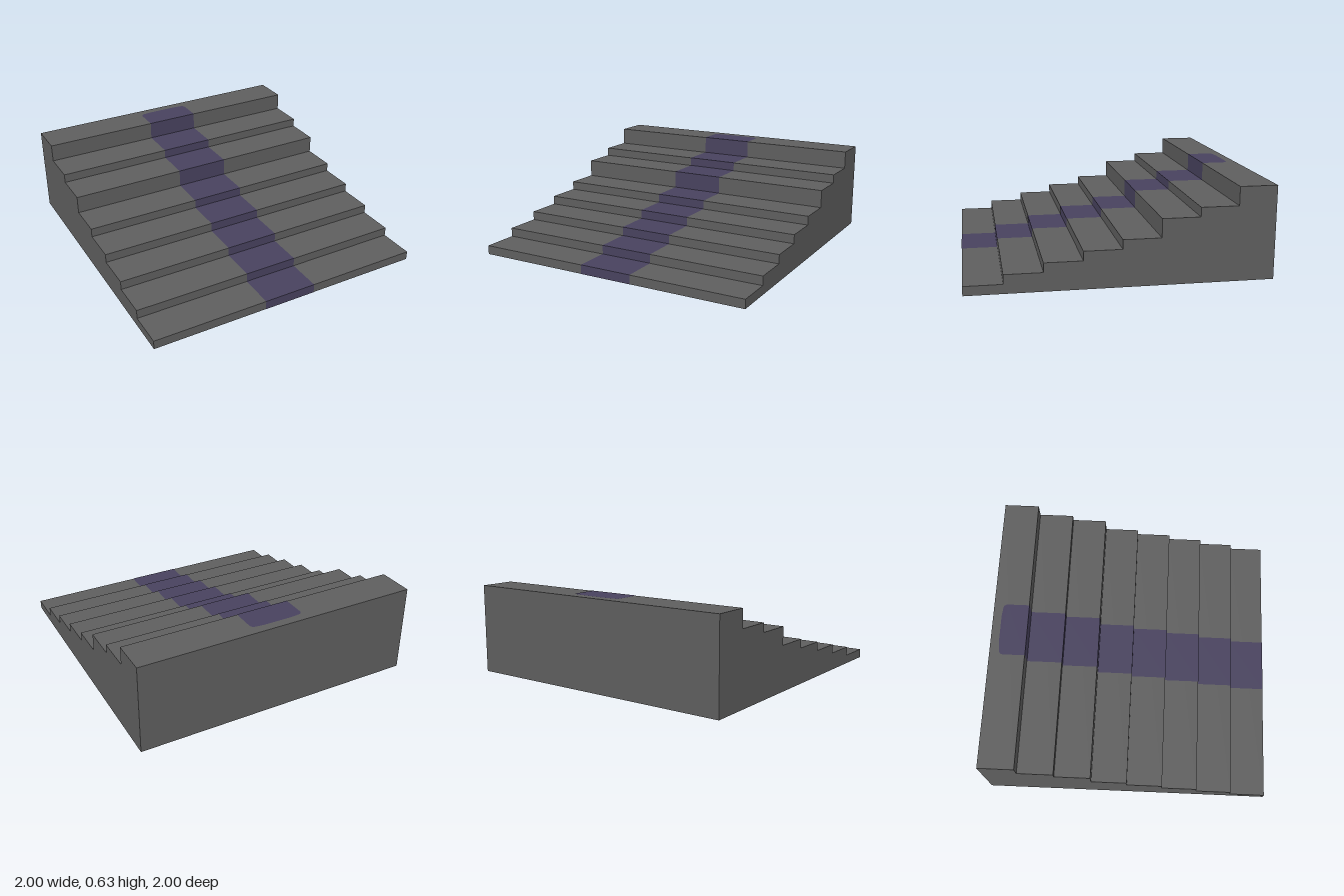
import * as THREE from 'three';
import { mergeGeometries } from 'three/addons/utils/BufferGeometryUtils.js';

const HEIGHTS = [0.0625, 0.125, 0.1875, 0.25, 0.3125, 0.4375, 0.5, 0.625];
const DEPTH = 0.25;      // tread depth
const HALF = 0.19;       // half width of the runner
const LIFT = 0.0015;     // runner sits just proud of the stone
const END = 0.94;        // rounded end of the runner, towards the back

// Flat runner piece with softened far corners; shape y is -z
function runnerShape(frontZ) {
  const s = new THREE.Shape();
  s.moveTo(-HALF, -frontZ);
  s.lineTo(HALF, -frontZ);
  s.lineTo(HALF, END - 0.04);
  s.quadraticCurveTo(HALF, END - 0.01, HALF - 0.03, END - 0.006);
  s.lineTo(0.1, END);
  s.lineTo(-0.1, END);
  s.lineTo(-HALF + 0.03, END - 0.006);
  s.quadraticCurveTo(-HALF, END - 0.01, -HALF, END - 0.04);
  return new THREE.ShapeGeometry(s, 6);
}

export function createModel() {
  const group = new THREE.Group();
  const stone = new THREE.MeshStandardMaterial({ color: 0x5e5e5e });
  stone.name = 'grey stone';
  const carpet = new THREE.MeshStandardMaterial({ color: 0x48425e });
  carpet.name = 'dark purple carpet';

  const add = (name, geometry, material) => {
    const mesh = new THREE.Mesh(geometry, material);
    mesh.name = name;
    group.add(mesh);
  };

  // Solid staircase: side profile extruded across the width
  const profile = new THREE.Shape();
  profile.moveTo(-1, 0);
  profile.lineTo(1, 0);
  HEIGHTS.forEach((h, i) => {
    profile.lineTo(1 - i * DEPTH, h);
    profile.lineTo(1 - (i + 1) * DEPTH, h);
  });
  const stairs = new THREE.ExtrudeGeometry(profile, { depth: 2, bevelEnabled: false });
  stairs.rotateY(-Math.PI / 2).translate(1, 0, 0);
  add('staircase', stairs, stone);

  // Runner: a riser and a tread for each step
  const risers = [], treads = [];
  HEIGHTS.forEach((h, i) => {
    const low = i ? HEIGHTS[i - 1] + LIFT : 0;
    const high = h + LIFT;
    const z = 1 - i * DEPTH + LIFT;
    risers.push(new THREE.PlaneGeometry(HALF * 2, high - low)
      .translate(0, (low + high) / 2, z));
    if (i < HEIGHTS.length - 1) {
      treads.push(new THREE.PlaneGeometry(HALF * 2, DEPTH)
        .rotateX(-Math.PI / 2).translate(0, high, z - DEPTH / 2));
    } else {
      treads.push(runnerShape(z).rotateX(-Math.PI / 2).translate(0, high, 0));
    }
  });
  add('runnerRisers', mergeGeometries(risers), carpet);
  add('runnerTreads', mergeGeometries(treads), carpet);

  // Matching strip on the underside, facing down
  add('undersideStrip', runnerShape(1)
    .rotateZ(Math.PI).rotateX(Math.PI / 2).translate(0, -LIFT, 0), carpet);

  return group;
}
